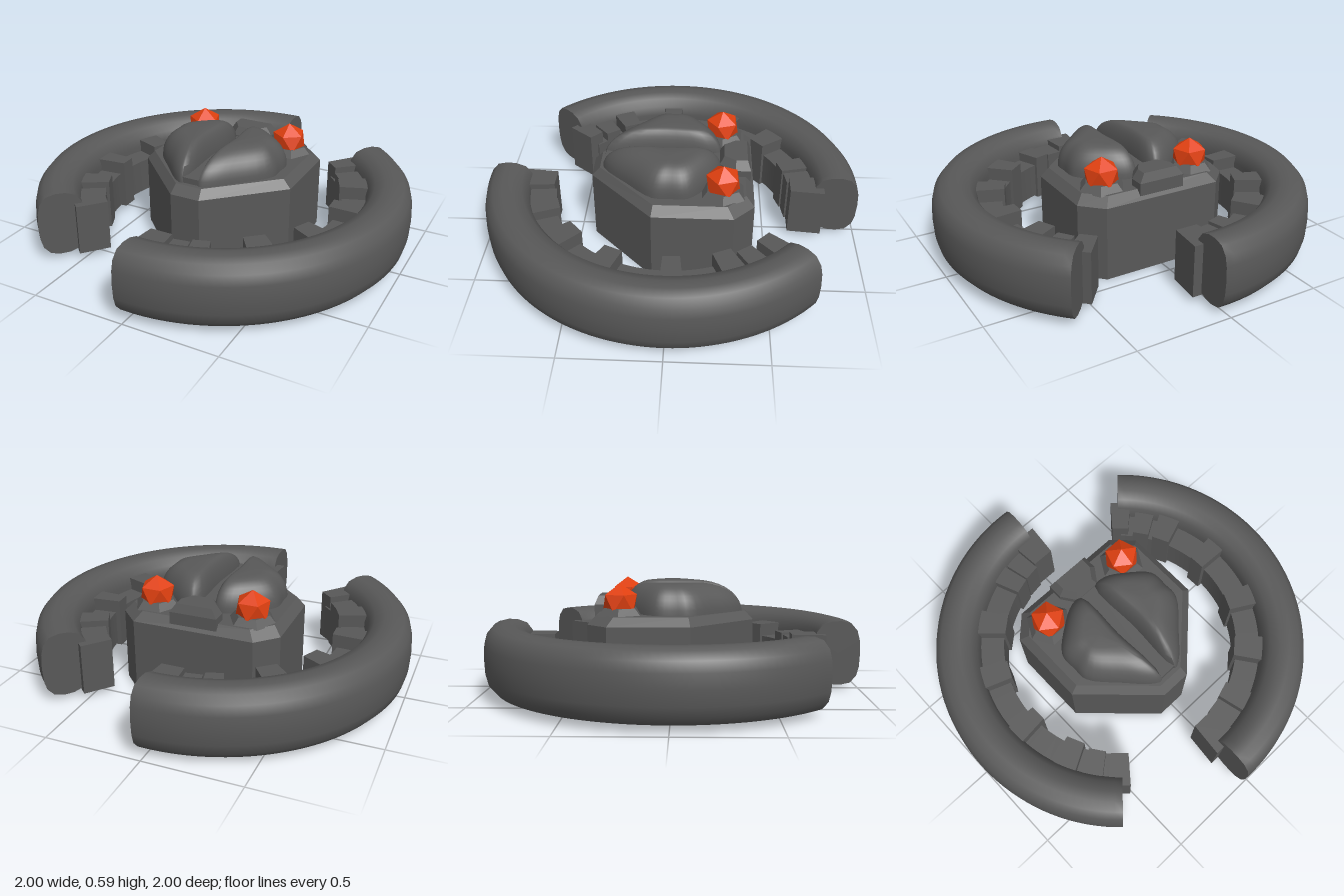
import * as THREE from 'three';
import { toCreasedNormals } from 'three/addons/utils/BufferGeometryUtils.js';

const grey = new THREE.MeshStandardMaterial({ color: 0x585858 });
grey.name = 'dark grey';
const orange = new THREE.MeshStandardMaterial({ color: 0xe04010 });
orange.name = 'orange';

// Closed solid through a list of cross-sections, with end caps facing outwards
function loft(rings, crease) {
  const n = rings[0].length;
  const pts = rings.flat();
  const tris = [];
  for (let r = 0; r < rings.length - 1; r++) {
    for (let i = 0; i < n; i++) {
      const a = r * n + i, b = r * n + (i + 1) % n;
      tris.push([a, b, b + n], [a, b + n, a + n]);
    }
  }
  [0, rings.length - 1].forEach((r, end) => {
    const centre = new THREE.Vector3();
    rings[r].forEach(p => centre.addScaledVector(p, 1 / n));
    const c = pts.push(centre) - 1;
    for (let i = 0; i < n; i++) {
      const a = r * n + i, b = r * n + (i + 1) % n;
      tris.push(end ? [a, b, c] : [b, a, c]);
    }
  });
  let volume = 0;
  const cross = new THREE.Vector3();
  tris.forEach(([a, b, c]) => { volume += cross.crossVectors(pts[b], pts[c]).dot(pts[a]); });
  if (volume < 0) tris.forEach(t => t.reverse());
  const geo = new THREE.BufferGeometry().setFromPoints(pts);
  geo.setIndex(tris.flat());
  return toCreasedNormals(geo, crease);
}

// Horizontal outline of [x, z] points at a height
const level = (outline, y, sx = 1, sz = sx, dz = 0) =>
  outline.map(([x, z]) => new THREE.Vector3(x * sx, y, z * sz + dz));

// Vertical [radius, y] section swept round the y axis
function sweep(section, from, to, steps, crease) {
  const rings = [];
  for (let i = 0; i <= steps; i++) {
    const a = THREE.MathUtils.degToRad(from + (to - from) * i / steps);
    rings.push(section.map(([r, y]) => new THREE.Vector3(r * Math.cos(a), y, r * Math.sin(a))));
  }
  return loft(rings, crease);
}

const rect = (r0, r1, y0, y1) => [[r0, y0], [r1, y0], [r1, y1], [r0, y1]];

function add(parent, name, geo, material = grey) {
  const mesh = new THREE.Mesh(geo, material);
  mesh.name = name;
  parent.add(mesh);
  return mesh;
}

// Rounded guard arc with a toothed inner rail
function guard(name) {
  const g = new THREE.Group();
  g.name = name;
  const upper = [[1, 0.2], [0.996, 0.27], [0.983, 0.32], [0.95, 0.358], [0.9, 0.37],
    [0.85, 0.368], [0.8, 0.35], [0.77, 0.31], [0.76, 0.26]];
  const lower = upper.slice(1).reverse().map(([r, y]) => [r, 0.395 - y]);
  add(g, 'guardTube', sweep([...upper, ...lower], -47.5, 92.3, 56, 0.7));
  add(g, 'innerRail', sweep(rect(0.635, 0.8, 0.04, 0.23), -46, 92, 40, 0.5));
  // Teeth: [centre angle, half width, inner radius, outer radius, top]
  const teeth = [[-46.5, 4, 0.645, 0.81, 0.3], [-36, 4, 0.635, 0.79, 0.28], [-25, 4.5, 0.62, 0.79, 0.3],
    [-2, 4, 0.61, 0.78, 0.3], [25, 4.5, 0.62, 0.79, 0.3], [49, 5, 0.62, 0.79, 0.3],
    [72, 4, 0.62, 0.79, 0.28], [81, 4, 0.625, 0.79, 0.27], [90.3, 5.4, 0.635, 0.815, 0.3]];
  teeth.forEach(([a, w, r0, r1, top]) =>
    add(g, 'railTooth', sweep(rect(r0, r1, 0.03, top), a - w, a + w, 1, 0.2)));
  return g;
}

// Rounded half of the top shell
function shellHalf(side) {
  const base = [[0.045, 0.36], [0.09, 0.345], [0.2, 0.235], [0.325, 0.09], [0.33, 0.01], [0.325, -0.09],
    [0.22, -0.19], [0.11, -0.255], [0.05, -0.25], [0.045, 0.05]];
  const top = [[0.1, 0.12], [0.12, 0.11], [0.16, 0.08], [0.21, 0.03], [0.21, 0], [0.21, -0.04],
    [0.17, -0.09], [0.13, -0.12], [0.1, -0.12], [0.1, 0.03]];
  const smooth = pts => new THREE.CatmullRomCurve3(
    pts.map(([x, z]) => new THREE.Vector3(x, 0, z)), true, 'centripetal');
  const lo = smooth(base), hi = smooth(top);
  const rings = [];
  for (let k = 0; k <= 9; k++) {
    const t = k / 9 * Math.PI / 2;
    const ring = [];
    for (let i = 0; i < 40; i++) {
      const p = lo.getPoint(i / 40).lerp(hi.getPoint(i / 40), 1 - Math.cos(t));
      ring.push(new THREE.Vector3(p.x * side, 0.43 + 0.15 * Math.sin(t), p.z));
    }
    rings.push(ring);
  }
  return loft(rings, 0.9);
}

export function createModel() {
  const model = new THREE.Group();
  model.name = 'drone';

  // Shield-shaped body with a bevelled rim
  const half = [[0.08, 0.42], [0.425, 0.09], [0.425, -0.32], [0.32, -0.425]];
  const outline = [...half, ...half.slice().reverse().map(([x, z]) => [-x, z])];
  add(model, 'body', loft([level(outline, 0), level(outline, 0.385),
    level(outline, 0.43, 0.9)], 0.2));

  // Top shell halves and the spine between them
  add(model, 'leftShell', shellHalf(1));
  add(model, 'rightShell', shellHalf(-1));
  const spine = add(model, 'spine', new THREE.BoxGeometry(0.1, 0.05, 0.61));
  spine.position.set(0, 0.435, 0.05);

  // Bevelled rear housing
  const housing = [[0.125, -0.41], [0.125, -0.33], [0.07, -0.25],
    [-0.07, -0.25], [-0.125, -0.33], [-0.125, -0.41]];
  add(model, 'rearHousing', loft([level(housing, 0.4), level(housing, 0.465),
    level(housing, 0.51, 0.75, 0.75, -0.085)], 0.2));

  // Faceted lamps on six-sided bases
  for (const side of [1, -1]) {
    const mount = new THREE.Group();
    mount.name = side > 0 ? 'leftLamp' : 'rightLamp';
    mount.position.set(0.26 * side, 0, -0.265);
    const base = toCreasedNormals(new THREE.CylinderGeometry(0.09, 0.125, 0.04, 6), 0.2);
    add(mount, 'lampBase', base.rotateY(Math.PI / 6 * 3)).position.y = 0.445;
    const gem = new THREE.IcosahedronGeometry(0.096);
    gem.rotateX(-Math.atan2(1 + Math.sqrt(5), 2));
    add(mount, 'lamp', gem, orange).position.y = 0.49;
    model.add(mount);
  }

  // Two guards, half a turn apart
  const right = guard('rightGuard');
  right.rotation.y = Math.PI;
  model.add(guard('leftGuard'), right);
  return model;
}
